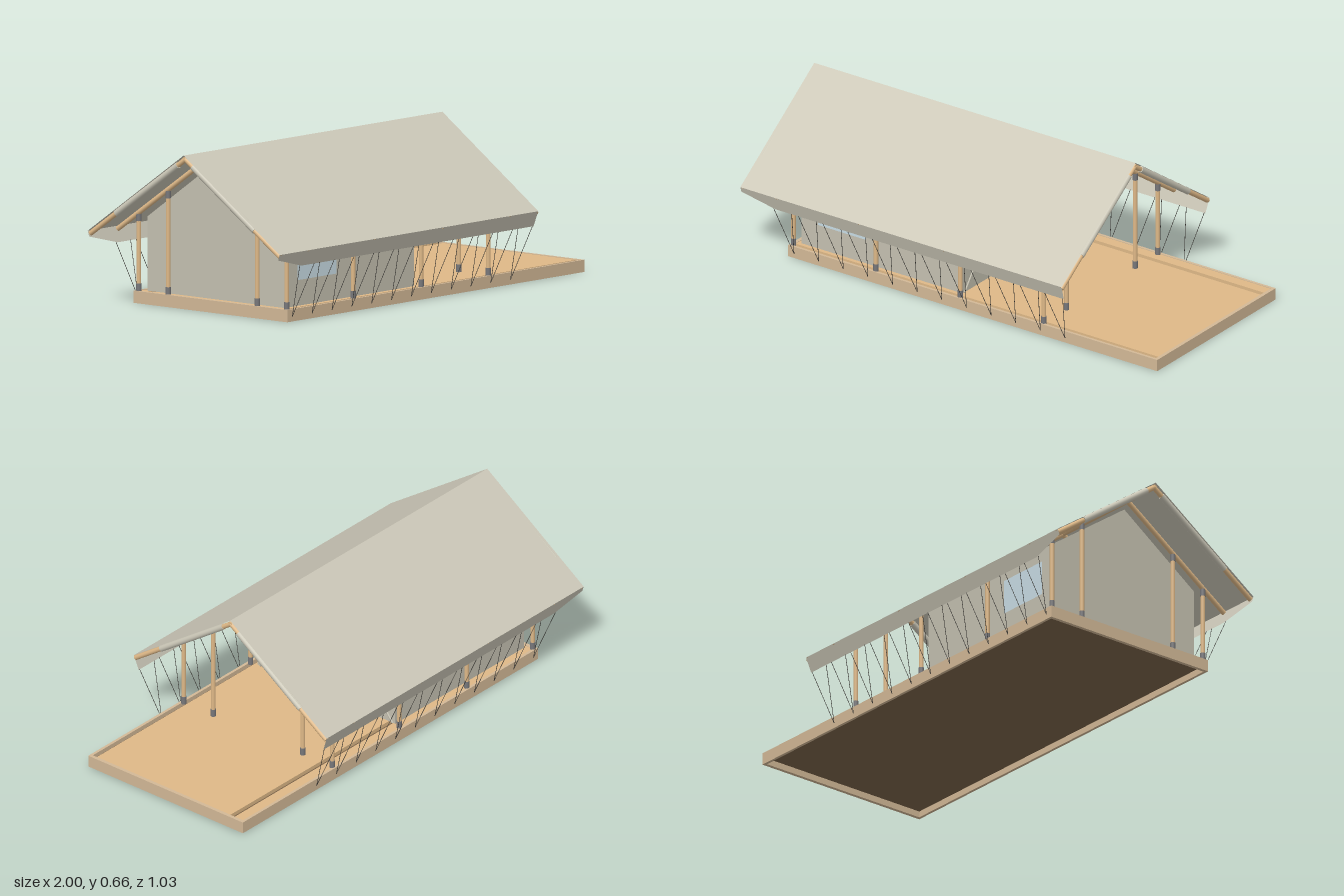
import * as THREE from 'three';

const mat = (color, extra = {}) => new THREE.MeshStandardMaterial({ color, ...extra });
const WOOD = mat(0xdeb887), EDGE = mat(0xd2b896), DARK = mat(0x7a6248);
const CANVAS = mat(0xccc8b8, { side: THREE.DoubleSide });
const WALL = mat(0xc4c0b0, { side: THREE.DoubleSide });
const GLASS = mat(0xc8dce4, { side: THREE.DoubleSide });
const STEEL = mat(0x77777a), ROPE = mat(0x3a3834);

const RIDGE = 0.643, SLOPE = 0.692;
const rafterY = (z) => RIDGE - Math.abs(z) * SLOPE;

function add(parent, name, geometry, material) {
  const mesh = new THREE.Mesh(geometry, material);
  mesh.name = name;
  parent.add(mesh);
  return mesh;
}

// Box given by its minimum and maximum corners
function box(parent, name, a, b, material) {
  const mesh = add(parent, name, new THREE.BoxGeometry(b[0] - a[0], b[1] - a[1], b[2] - a[2]), material);
  mesh.position.set((a[0] + b[0]) / 2, (a[1] + b[1]) / 2, (a[2] + b[2]) / 2);
  return mesh;
}

// Round bar between two points
function pole(parent, name, a, b, radius, material, sides = 14) {
  const p = new THREE.Vector3(...a), q = new THREE.Vector3(...b);
  const d = q.clone().sub(p);
  const mesh = add(parent, name, new THREE.CylinderGeometry(radius, radius, d.length(), sides), material);
  mesh.position.copy(p).add(q).multiplyScalar(0.5);
  mesh.quaternion.setFromUnitVectors(new THREE.Vector3(0, 1, 0), d.normalize());
  return mesh;
}

// Flat convex sheet from its corners
function sheet(parent, name, corners, material) {
  const g = new THREE.BufferGeometry();
  g.setAttribute('position', new THREE.Float32BufferAttribute(corners.flat(), 3));
  const index = [];
  for (let i = 1; i < corners.length - 1; i++) index.push(0, i, i + 1);
  g.setIndex(index);
  g.computeVertexNormals();
  return add(parent, name, g, material);
}

// Outline with optional holes, as a flat shape
function shape(points, holes = []) {
  const toV = (list) => list.map(([x, y]) => new THREE.Vector2(x, y));
  const s = new THREE.Shape(toV(points));
  holes.forEach((h) => s.holes.push(new THREE.Path(toV(h))));
  return new THREE.ShapeGeometry(s);
}

function buildDeck() {
  const deck = new THREE.Group();
  deck.name = 'deck';
  box(deck, 'underside', [-0.82, 0.026, -0.4], [0.985, 0.032, 0.4], DARK);
  box(deck, 'floor', [-0.82, 0.032, -0.33], [0.985, 0.048, 0.38], WOOD);
  box(deck, 'backBoard', [-0.82, 0.032, -0.4], [0.985, 0.048, -0.353], WOOD);
  for (const s of [-1, 1]) {
    box(deck, 'sideFascia', [-0.835, 0, s * 0.405 - 0.006], [1, 0.05, s * 0.405 + 0.006], EDGE);
  }
  box(deck, 'endFascia', [0.985, 0, -0.4], [1, 0.05, 0.4], EDGE);
  box(deck, 'endFascia', [-0.835, 0, -0.4], [-0.82, 0.05, 0.4], EDGE);
  return deck;
}

// Post with metal foot and head
function buildPost(x, z) {
  const post = new THREE.Group();
  post.name = 'post';
  const top = rafterY(z) - 0.005;
  pole(post, 'postShaft', [x, 0.046, z], [x, top, z], 0.0095, WOOD);
  pole(post, 'postFoot', [x, 0.046, z], [x, 0.08, z], 0.011, STEEL);
  pole(post, 'postHead', [x, top - 0.03, z], [x, top, z], 0.011, STEEL);
  return post;
}

function buildFrame() {
  const frame = new THREE.Group();
  frame.name = 'frame';
  const postX = [-0.82, -0.41, 0.01, 0.425];
  for (const s of [-1, 1]) {
    for (const x of postX) frame.add(buildPost(x, s * 0.395));
    for (const x of [postX[0], postX[3]]) frame.add(buildPost(x, s * 0.238));
    for (const x of [-0.988, ...postX, 0.592]) {
      pole(frame, 'rafter', [x, RIDGE, 0], [x, rafterY(0.507), s * 0.507], 0.0105, WOOD);
    }
    // Canvas sleeves round the end rafters
    for (const x of [-0.988, 0.592]) {
      pole(frame, 'rafterSleeve', [x, rafterY(0.04), s * 0.04], [x, rafterY(0.37), s * 0.37], 0.0135, CANVAS);
    }
  }
  pole(frame, 'ridgePole', [-0.995, RIDGE, 0], [0.6, RIDGE, 0], 0.0105, WOOD);
  return frame;
}

function buildFlySheet() {
  const fly = new THREE.Group();
  fly.name = 'flySheet';
  const x0 = -1, x1 = 0.598;
  for (const s of [-1, 1]) {
    sheet(fly, 'roofSlope', [[x0, 0.66, 0], [x1, 0.66, 0], [x1, 0.303, s * 0.513], [x0, 0.303, s * 0.513]], CANVAS);
    // Valance leaning inwards, tapered at the rear overhang
    sheet(fly, 'valance', [[x0, 0.303, s * 0.513], [x1, 0.303, s * 0.513], [x1 - 0.005, 0.24, s * 0.491],
      [-0.84, 0.24, s * 0.491], [x0, 0.28, s * 0.505]], CANVAS);
    // Zigzag guy ropes down to the deck edge
    for (let i = 0; i < 12; i++) {
      const x = -0.805 + i * 0.1225, foot = [x, 0.02, s * 0.412];
      for (const d of [-0.045, 0.045]) {
        pole(fly, 'guyRope', foot, [x + d, 0.242, s * 0.491], 0.0012, ROPE, 5);
      }
    }
  }
  return fly;
}

function buildInnerTent() {
  const tent = new THREE.Group();
  tent.name = 'innerTent';
  const xb = -0.8, xf = 0, half = 0.366, eave = 0.354, peak = 0.612, base = 0.05;
  const gable = [[-half, base], [half, base], [half, eave], [0, peak], [-half, eave]];
  const pane = [[-0.105, 0.355], [0.105, 0.355], [0, 0.505]];

  // Front gable with triangular doorway panel and glazed tip
  const front = add(tent, 'frontGable', shape(gable, [pane]), WALL);
  const glass = add(tent, 'doorWindow', shape(pane), GLASS);
  const rear = add(tent, 'rearGable', shape(gable), WALL);
  for (const m of [front, glass, rear]) {
    m.rotation.y = Math.PI / 2;
    m.position.x = m === rear ? xb : xf;
  }
  for (const s of [-1, 1]) {
    pole(tent, 'doorZip', [xf, 0.508, 0], [xf, base, s * 0.352], 0.0025, STEEL, 6);
    pole(tent, 'doorFlapRoll', [xf, 0.2, s * 0.236], [xf, base, s * 0.352], 0.005, WALL, 8);

    // Side wall with window
    const win = [[-0.72, 0.155], [-0.48, 0.155], [-0.48, 0.3], [-0.72, 0.3]];
    const wall = [[xb, base], [xf, base], [xf, eave], [xb, eave]];
    add(tent, 'sideWall', shape(wall, [win]), WALL).position.z = s * half;
    add(tent, 'sideWindow', shape(win), GLASS).position.z = s * half;
    sheet(tent, 'innerRoof', [[xb, peak, 0], [xf, peak, 0], [xf, eave, s * half], [xb, eave, s * half]], WALL);
  }
  return tent;
}

export function createModel() {
  const model = new THREE.Group();
  model.name = 'safariTent';
  model.add(buildDeck(), buildFrame(), buildFlySheet(), buildInnerTent());
  return model;
}
